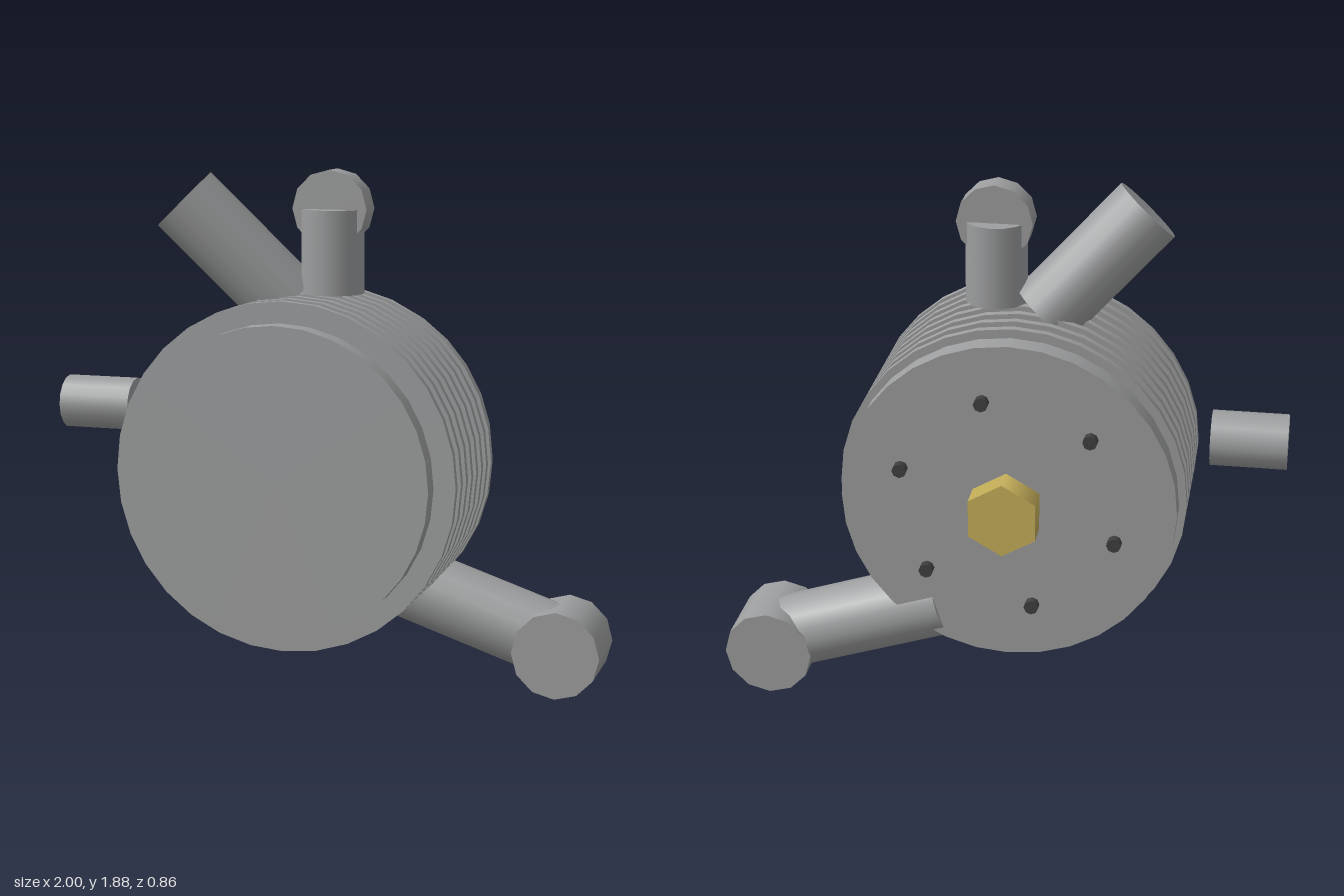
import * as THREE from 'three';

const grey = new THREE.MeshStandardMaterial({ color: 0x9d9e9f });
const dark = new THREE.MeshStandardMaterial({ color: 0x404040 });
const brass = new THREE.MeshStandardMaterial({ color: 0xc7b05b });

const UP = new THREE.Vector3(0, 1, 0);
const CX = -0.048, CY = 0.83; // axis of the drum

// Cylinder running from point a to point b
function rod(name, a, b, radius, sides, material = grey) {
  const from = new THREE.Vector3(...a), to = new THREE.Vector3(...b);
  const axis = to.clone().sub(from);
  const mesh = new THREE.Mesh(new THREE.CylinderGeometry(radius, radius, axis.length(), sides), material);
  mesh.name = name;
  mesh.position.copy(from).add(to).multiplyScalar(0.5);
  mesh.quaternion.setFromUnitVectors(UP, axis.normalize());
  return mesh;
}

// Disc whose axis runs along z
const disc = (name, x, y, z0, z1, radius, sides, material) =>
  rod(name, [x, y, z0], [x, y, z1], radius, sides, material);

export function createModel() {
  const model = new THREE.Group();
  model.name = 'finnedHousing';

  // Drum: core, front cover and rear flange
  model.add(
    disc('core', CX, CY, -0.23, 0.37, 0.518, 32),
    disc('frontCover', CX, CY, 0.358, 0.43, 0.543, 32),
    disc('rearFlange', CX, CY, -0.302, -0.22, 0.592, 32)
  );

  // Cooling fins
  const fins = new THREE.Group();
  fins.name = 'coolingFins';
  for (let i = 0; i < 8; i++) {
    const z = -0.187 + i * 0.0743;
    fins.add(disc('fin', CX, CY, z - 0.014, z + 0.014, 0.617, 32));
  }
  model.add(fins);

  // Ring of bolts on the rear flange
  const bolts = new THREE.Group();
  bolts.name = 'flangeBolts';
  for (let i = 0; i < 6; i++) {
    const a = THREE.MathUtils.degToRad(17 + i * 60);
    bolts.add(disc('bolt', CX + 0.395 * Math.cos(a), CY + 0.395 * Math.sin(a), -0.334, -0.29, 0.026, 8, dark));
  }
  model.add(bolts);

  // Hexagonal shaft nut
  model.add(disc('shaftNut', CX, CY, -0.433, -0.334, 0.135, 6, brass));

  // Lower outlet and its elbow
  model.add(
    rod('outletPipe', [0.205, 0.38, -0.185], [0.84, 0.171, -0.185], 0.135, 16),
    disc('outletElbow', 0.84, 0.161, -0.32, -0.05, 0.16, 12)
  );

  // Slanted inlet
  model.add(rod('inletPipe', [-0.12, 1.408, 0.065], [-0.468, 1.775, 0.17], 0.132, 16));

  // Upright port and its rounded cap
  model.add(
    rod('topPort', [0.051, 1.45, 0.077], [0.051, 1.745, 0.077], 0.111, 16),
    disc('topPortElbow', 0.051, 1.747, 0.025, 0.122, 0.135, 12)
  );

  // Side port
  model.add(rod('sidePort', [-1, 1.003, 0], [-0.73, 1.003, 0], 0.098, 16));

  return model;
}
